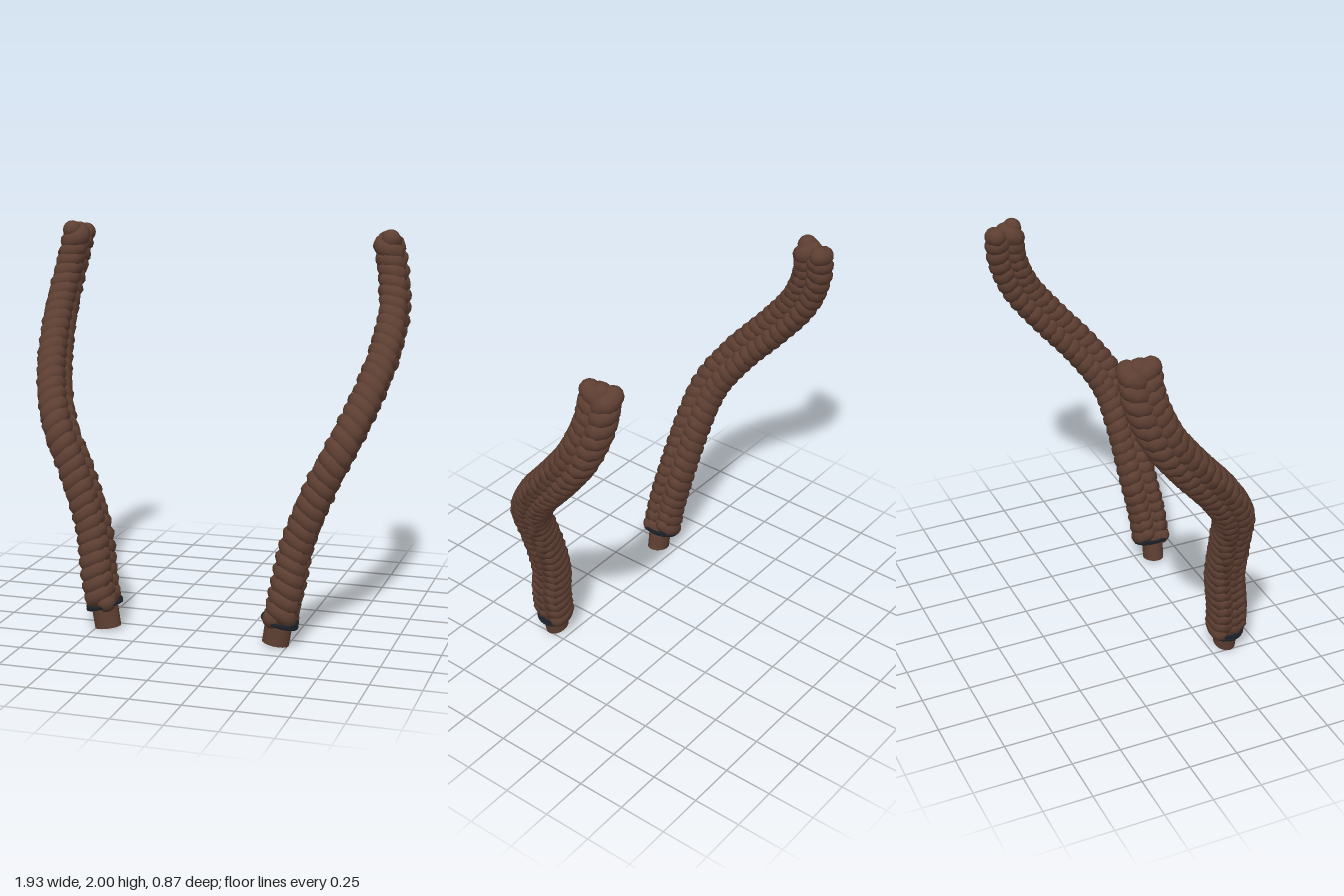
import * as THREE from 'three';
import { mergeGeometries } from 'three/addons/utils/BufferGeometryUtils.js';

const hair = new THREE.MeshStandardMaterial({ color: 0x5e3f32 });
hair.name = 'brown hair';
const band = new THREE.MeshStandardMaterial({ color: 0x1b2028 });
band.name = 'dark band';

// Centre line of the left braid, from the tie up to the root
const path = new THREE.CatmullRomCurve3([
  [0.465, 0.14, 0.335], [0.495, 0.3, 0.32], [0.53, 0.5, 0.285], [0.64, 0.8, 0.25],
  [0.735, 1.0, 0.21], [0.815, 1.2, 0.085], [0.868, 1.4, -0.085], [0.885, 1.6, -0.235],
  [0.86, 1.8, -0.315], [0.83, 1.945, -0.33],
].map((p) => new THREE.Vector3(...p)));

const PERIODS = 11.5; // full weaves along the braid
const RADIUS = 0.05;

// One of three strands weaving in a flat figure of eight around the path
class Strand extends THREE.Curve {
  constructor(phase) {
    super();
    this.phase = phase;
    this.arcLengthDivisions = 1000;
  }
  getPoint(u, target = new THREE.Vector3()) {
    const t = u * PERIODS * Math.PI * 2 + this.phase;
    const along = path.getTangentAt(u);
    const wide = new THREE.Vector3(0, 0, 1).addScaledVector(along, -along.z).normalize();
    const out = new THREE.Vector3().crossVectors(along, wide);
    return target.copy(path.getPointAt(u))
      .addScaledVector(wide, 0.056 * Math.sin(t))
      .addScaledVector(out, (0.038 - 0.012 * u) * Math.sin(2 * t));
  }
}

function strandGeometry(phase) {
  const curve = new Strand(phase);
  const tube = new THREE.TubeGeometry(curve, 260, RADIUS, 12);
  // Rounded ends close the strand
  const ends = [0, 1].map((u) => {
    const p = curve.getPoint(u);
    return new THREE.SphereGeometry(RADIUS, 12, 8).translate(p.x, p.y, p.z);
  });
  return mergeGeometries([tube, ...ends]);
}

// Mirror across x = 0, keeping faces outward
function mirrored(geometry) {
  const g = geometry.clone().scale(-1, 1, 1);
  const index = g.index;
  for (let i = 0; i < index.count; i += 3) {
    const b = index.getX(i + 1);
    index.setX(i + 1, index.getX(i + 2));
    index.setX(i + 2, b);
  }
  return g;
}

export function createModel() {
  const model = new THREE.Group();
  model.name = 'pairOfBraids';
  const parts = [];

  // Woven strands and the hair packed between them
  for (let i = 0; i < 3; i++) {
    parts.push([`braidStrand${i + 1}`, strandGeometry((i * Math.PI * 2) / 3), hair]);
  }
  parts.push(['braidCore', new THREE.TubeGeometry(path, 80, 0.05, 10), hair]);

  // Loose end below the tie
  const tail = new THREE.CylinderGeometry(1, 0.97, 0.15, 24)
    .scale(0.07, 1, 0.056).rotateZ(-0.16).translate(0.452, 0.085, 0.342);
  parts.push(['braidTail', tail, hair]);

  // Two loops of the elastic tie, slightly askew
  for (const [name, tiltX, tiltZ, y] of [['tieLoopUpper', 0.06, -0.2, 0.133], ['tieLoopLower', -0.06, -0.29, 0.121]]) {
    const loop = new THREE.TorusGeometry(0.087, 0.009, 8, 32)
      .rotateX(Math.PI / 2 + tiltX).rotateZ(tiltZ).translate(0.46, y, 0.335);
    parts.push([name, loop, band]);
  }

  for (const side of ['left', 'right']) {
    const braid = new THREE.Group();
    braid.name = `${side}Braid`;
    for (const [name, geometry, material] of parts) {
      const mesh = new THREE.Mesh(side === 'left' ? geometry : mirrored(geometry), material);
      mesh.name = name;
      braid.add(mesh);
    }
    model.add(braid);
  }
  return model;
}
